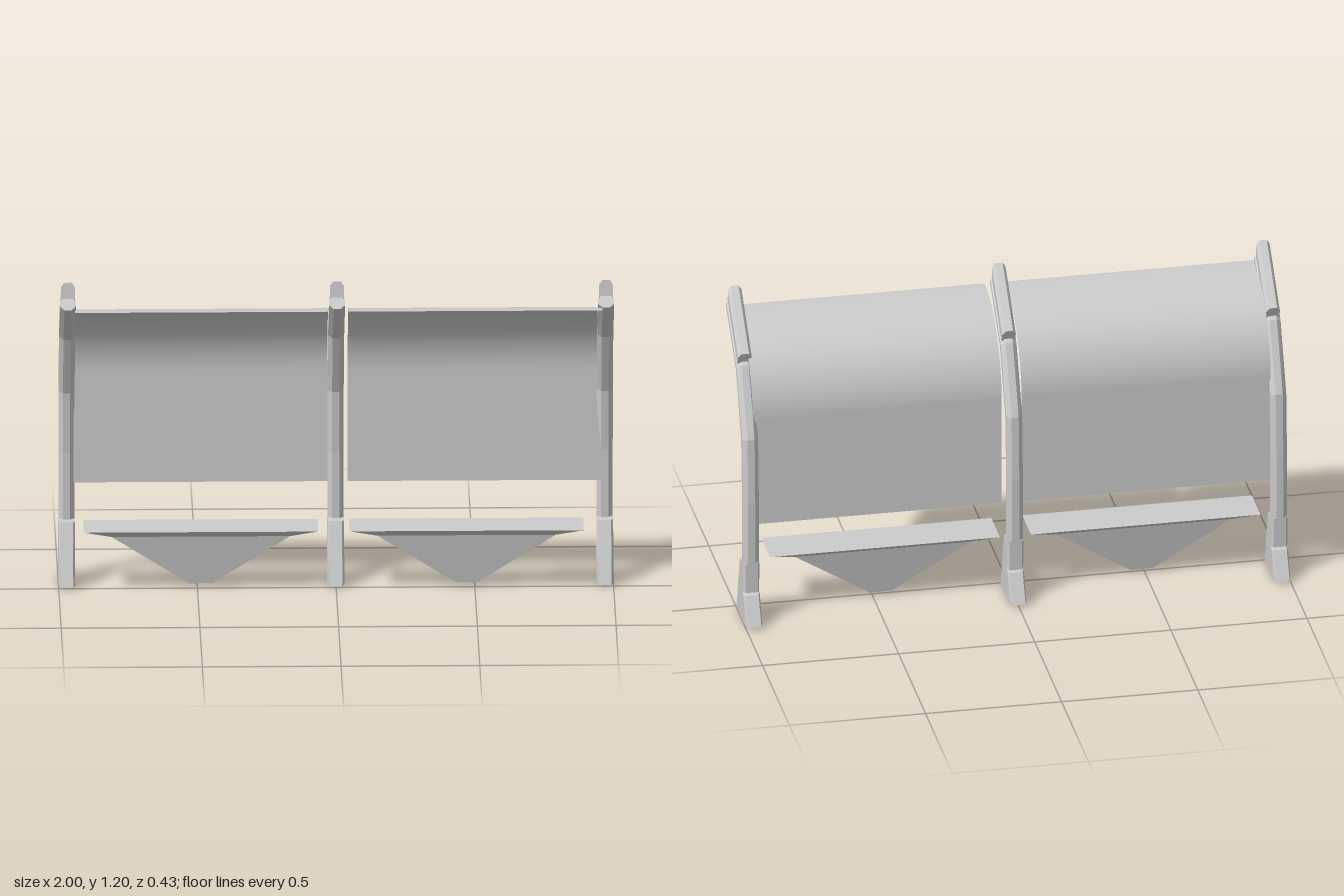
import * as THREE from 'three';

const mat = new THREE.MeshStandardMaterial({ color: 0xcccccc, flatShading: true });
const sheetMat = new THREE.MeshStandardMaterial({ color: 0xcccccc, side: THREE.DoubleSide });

// Skin a stack of rings (each [x, y, z] points, counter-clockwise from above) and cap both ends
function loft(rings) {
  const n = rings[0].length;
  const pos = rings.flat(2);
  const index = [];
  const top = (rings.length - 1) * n;
  for (let r = 0; r < rings.length - 1; r++) {
    for (let j = 0; j < n; j++) {
      const a = r * n + j, b = r * n + (j + 1) % n;
      index.push(a, b, b + n, a, b + n, a + n);
    }
  }
  for (let j = 1; j < n - 1; j++) {
    index.push(0, j + 1, j, top, top + j, top + j + 1);
  }
  const geo = new THREE.BufferGeometry();
  geo.setAttribute('position', new THREE.Float32BufferAttribute(pos, 3));
  geo.setIndex(index);
  const flat = geo.toNonIndexed();
  flat.computeVertexNormals();
  return flat;
}

// Eight-sided ring between a front and a back point: [zFront, yFront, zBack, yBack]
function octagon([zf, yf, zb, yb], w, endWidth, cut) {
  const e = w * endWidth;
  const outline = [[-e, 0], [e, 0], [w, cut], [w, 1 - cut], [e, 1], [-e, 1], [-w, 1 - cut], [-w, cut]];
  return outline.map(([x, t]) => [x, yf + (yb - yf) * t, zf + (zb - zf) * t]);
}

function add(parent, name, geo, material = mat) {
  const mesh = new THREE.Mesh(geo, material);
  mesh.name = name;
  parent.add(mesh);
  return mesh;
}

// Bent tube that leans forward at the top
const postSections = [
  [-0.099, 0.1, -0.147, 0.1],
  [-0.1, 0.48, -0.147, 0.48],
  [-0.08, 0.71, -0.135, 0.725],
  [0.015, 0.94, -0.025, 0.972],
  [0.197, 1.105, 0.172, 1.145],
];
// Raised rib on the back of the roof arm
const ribSections = [
  [0.0, 0.95, -0.027, 1.02],
  [0.176, 1.125, 0.168, 1.2],
];
// Splayed foot, stepped at the back
const footSections = [
  [-0.04, 0, -0.17, 0],
  [0.01, 0.006, -0.215, 0.012],
  [-0.029, 0.115, -0.161, 0.115],
  [-0.031, 0.12, -0.147, 0.12],
  [-0.07, 0.228, -0.147, 0.235],
];

function createFrame(x) {
  const frame = new THREE.Group();
  frame.name = 'supportFrame';
  frame.position.x = x;
  add(frame, 'post', loft(postSections.map((s) => octagon(s, 0.029, 0.45, 0.3))));
  add(frame, 'armRib', loft(ribSections.map((s) => octagon(s, 0.025, 0.55, 0.22))));
  add(frame, 'foot', loft(footSections.map((s) => octagon(s, 0.03, 0.75, 0.12))));
  return frame;
}

// Thin sheet: upright back wall that curves a quarter turn into the roof
function createPanel(x0, x1) {
  const yLow = 0.37, yBend = 0.785, radius = 0.315, zBack = -0.1;
  const rows = 25;
  const geo = new THREE.PlaneGeometry(x1 - x0, 1, 1, rows);
  const p = geo.attributes.position;
  for (let i = 0; i < p.count; i++) {
    const row = Math.round((p.getY(i) + 0.5) * rows);
    if (row === 0) {
      p.setY(i, yLow);
      p.setZ(i, zBack);
    } else {
      const a = ((row - 1) / (rows - 1)) * Math.PI / 2;
      p.setY(i, yBend + radius * Math.sin(a));
      p.setZ(i, zBack + radius * (1 - Math.cos(a)));
    }
  }
  geo.computeVertexNormals();
  geo.translate((x0 + x1) / 2, 0, 0);
  return geo;
}

// Bench: flat top with a thin lip, tapering below to a short ridge
function createBench() {
  const levels = [
    [0.015, 0.04, 0.003],
    [0.2, 0.322, 0.035],
    [0.23, 0.422, 0.081],
  ]; // [height, half width, half depth]
  const zc = -0.014;
  return loft(levels.map(([y, w, d]) => [
    [-w, y, zc + d], [w, y, zc + d], [w, y, zc - d], [-w, y, zc - d],
  ]));
}

export function createModel() {
  const model = new THREE.Group();
  model.name = 'shelter';
  for (const x of [-0.97, 0, 0.97]) model.add(createFrame(x));
  for (const [x0, x1] of [[-0.945, -0.03], [0.043, 0.957]]) {
    add(model, 'curvedPanel', createPanel(x0, x1), sheetMat);
  }
  for (const x of [-0.488, 0.47]) add(model, 'bench', createBench()).position.x = x;
  return model;
}
